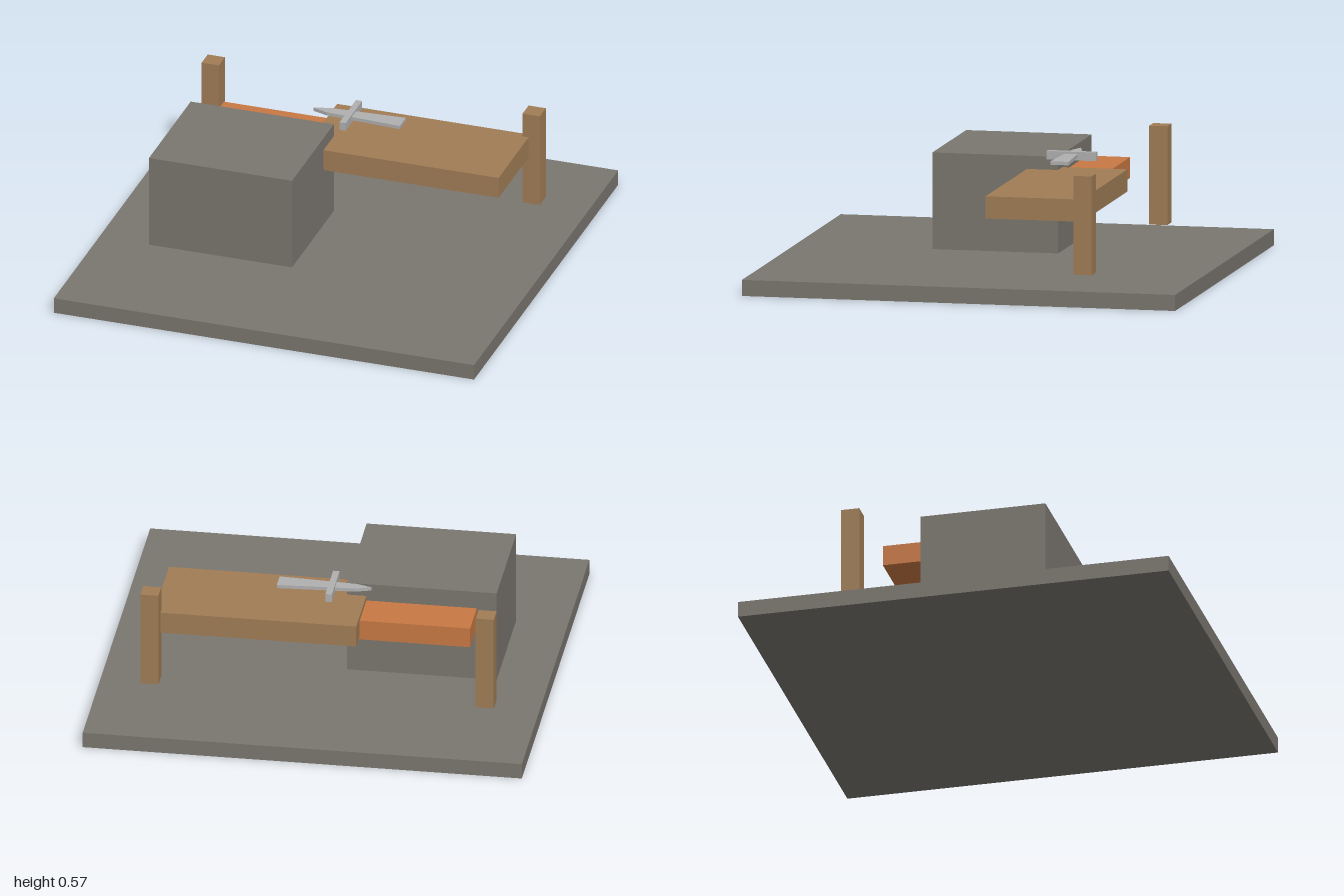
import * as THREE from 'three';

const mat = (name, color) => {
  const m = new THREE.MeshStandardMaterial({ color });
  m.name = name;
  return m;
};

export function createModel() {
  const model = new THREE.Group();
  const stone = mat('stone', 0x7a766f);
  const wood = mat('wood', 0xa07c55);
  const ember = mat('ember', 0xc87843);
  const steel = mat('steel', 0xb0b0b0);

  // Box given by its extents on each axis
  const box = (name, material, [x0, x1], [y0, y1], [z0, z1], parent = model) => {
    const mesh = new THREE.Mesh(new THREE.BoxGeometry(x1 - x0, y1 - y0, z1 - z0), material);
    mesh.position.set((x0 + x1) / 2, (y0 + y1) / 2, (z0 + z1) / 2);
    mesh.name = name;
    parent.add(mesh);
    return mesh;
  };

  // Floor slab and furnace block
  box('floor', stone, [-1, 1], [0, 0.073], [-1, 1]);
  box('furnace', stone, [-0.764, -0.083], [0.073, 0.513], [-0.212, 0.368]);

  // Glowing coals behind the furnace
  box('coals', ember, [-0.674, -0.168], [0.335, 0.43], [-0.41, -0.16]);

  // Workbench top and the two posts
  box('benchTop', wood, [-0.171, 0.75], [0.352, 0.453], [-0.513, -0.068]);
  for (const [name, x] of [['rightPost', -0.765], ['leftPost', 0.762]]) {
    box(name, wood, [x - 0.041, x + 0.041], [0.118, 0.568], [-0.57, -0.486]);
  }

  // Sword: flat tapered blade and a crossguard
  const sword = new THREE.Group();
  sword.name = 'sword';
  model.add(sword);
  const outline = new THREE.Shape([
    [-0.207, 0], [-0.135, -0.023], [0.219, -0.042], [0.219, 0.042], [-0.135, 0.023],
  ].map(([x, z]) => new THREE.Vector2(x, z)));
  const bladeGeometry = new THREE.ExtrudeGeometry(outline, { depth: 0.016, bevelEnabled: false });
  bladeGeometry.rotateX(-Math.PI / 2);
  const blade = new THREE.Mesh(bladeGeometry, steel);
  blade.name = 'blade';
  blade.position.set(0, 0.523, -0.288);
  sword.add(blade);
  box('crossguard', steel, [-0.043, -0.014], [0.51, 0.549], [-0.403, -0.174], sword);

  return model;
}
